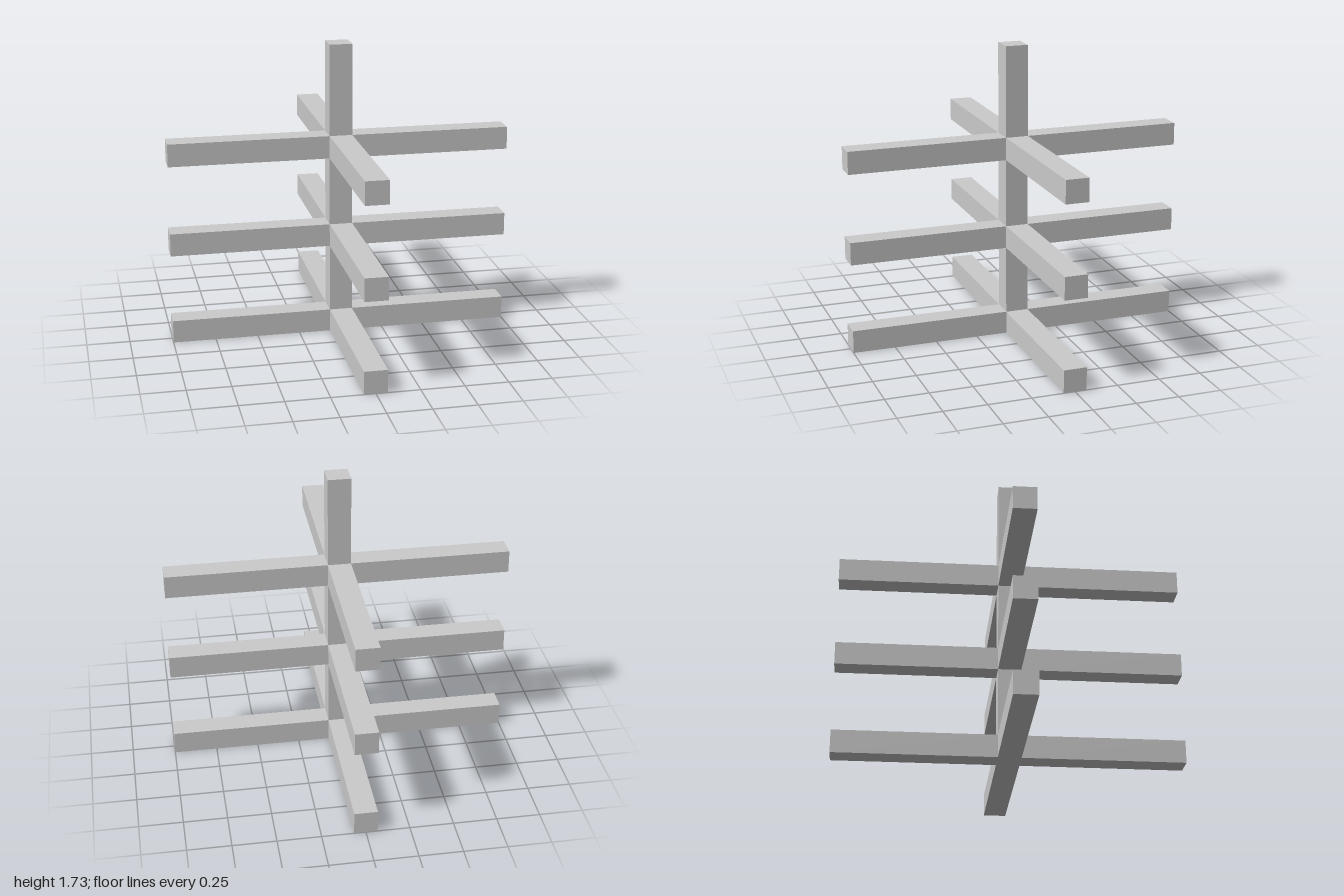
import * as THREE from 'three';

export function createModel() {
  const model = new THREE.Group();
  model.name = 'crossedBeamTower';
  const material = new THREE.MeshStandardMaterial({ color: 0xcccccc, flatShading: true });

  const beam = 2 / 15; // square section of every beam
  const postHeight = 13 * beam;
  const tierSpacing = 4 * beam;
  const armLength = 1 - beam / 2;

  // Central upright
  const post = new THREE.Mesh(new THREE.BoxGeometry(beam, postHeight, beam), material);
  post.name = 'post';
  post.position.y = postHeight / 2;
  model.add(post);

  // Arm reaching from the post face outwards along +x
  const armGeometry = new THREE.BoxGeometry(armLength, beam, beam);
  armGeometry.translate(beam / 2 + armLength / 2, 0, 0);
  const armNames = ['leftArm', 'backArm', 'rightArm', 'frontArm'];

  // Three tiers of four arms
  ['lowerTier', 'middleTier', 'upperTier'].forEach((name, i) => {
    const tier = new THREE.Group();
    tier.name = name;
    tier.position.y = beam / 2 + i * tierSpacing;
    armNames.forEach((armName, k) => {
      const arm = new THREE.Mesh(armGeometry, material);
      arm.name = armName;
      arm.rotation.y = (k * Math.PI) / 2;
      tier.add(arm);
    });
    model.add(tier);
  });

  return model;
}
